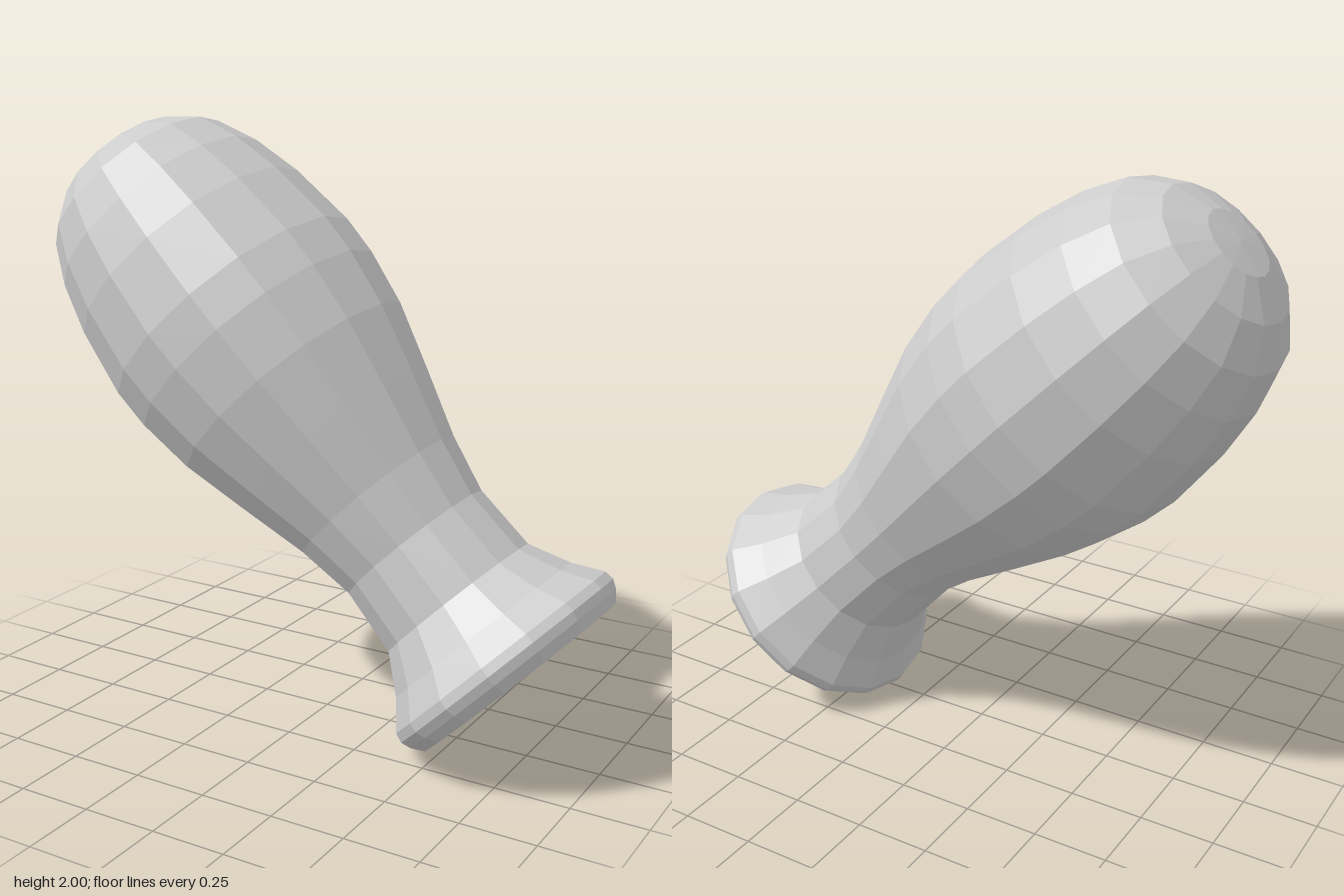
import * as THREE from 'three';

// Profiles are [radius, height along the handle's own axis]
const SOCKET = [[0, 0.24], [0.18, 0.22], [0.2, 0.0], [0.29, -0.304]];
const RIM = [[0.29, -0.304], [0.335, -0.316], [0.387, -0.316], [0.417, -0.28], [0.43, -0.25], [0.425, -0.218]];
const BODY = [
  [0.425, -0.218], [0.357, -0.13], [0.287, 0.0], [0.276, 0.226], [0.315, 0.42],
  [0.385, 0.65], [0.45, 0.873], [0.482, 1.07], [0.487, 1.21], [0.458, 1.45],
  [0.415, 1.626], [0.354, 1.768], [0.25, 1.867], [0.12, 1.916], [0, 1.924],
];

function turned(name, profile, material) {
  const points = profile.map(([r, y]) => new THREE.Vector2(r, y));
  const mesh = new THREE.Mesh(new THREE.LatheGeometry(points, 16), material);
  mesh.name = name;
  return mesh;
}

export function createModel() {
  const material = new THREE.MeshStandardMaterial({ color: 0xcccccc, flatShading: true });

  // Turned handle: hollow socket, rolled rim and bulbous grip
  const handle = new THREE.Group();
  handle.name = 'handle';
  handle.add(
    turned('socket', SOCKET, material),
    turned('rim', RIM, material),
    turned('grip', BODY, material),
  );

  // Lean the axis 45 degrees towards -x, with a very slight backward tilt
  handle.rotation.set(-0.0115, 0, Math.PI / 4, 'ZXY');
  handle.position.set(0.5, 0.5, 0.012);

  const model = new THREE.Group();
  model.name = 'toolHandle';
  model.add(handle);
  return model;
}
